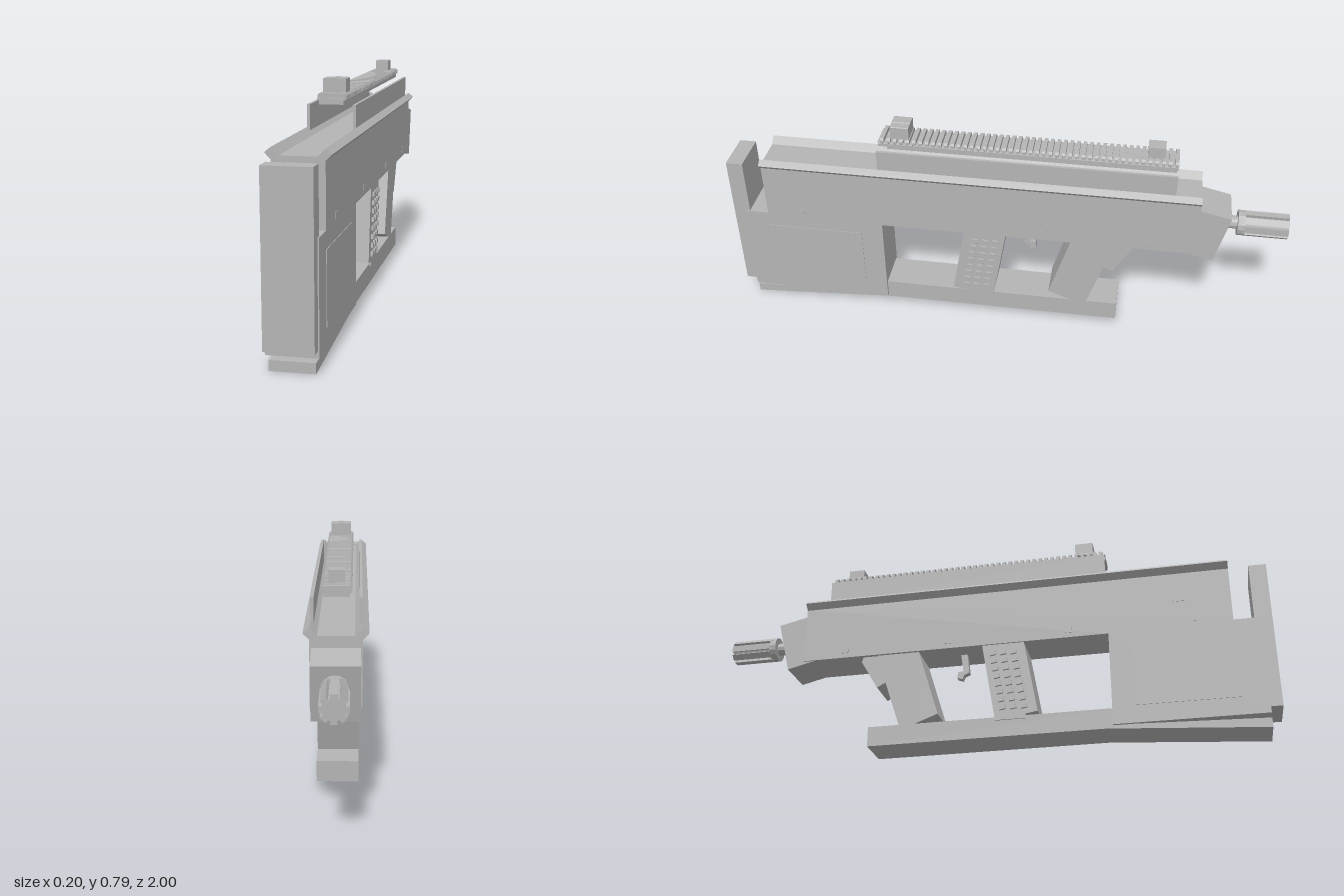
import * as THREE from 'three';

const grey = new THREE.MeshStandardMaterial({ color: 0xb4b4b4, flatShading: true });
grey.name = 'matte grey';

export function createModel() {
  const model = new THREE.Group();
  model.name = 'blaster';

  const add = (name, geometry, parent = model) => {
    const mesh = new THREE.Mesh(geometry, grey);
    mesh.name = name;
    parent.add(mesh);
    return mesh;
  };
  const group = (name) => {
    const g = new THREE.Group();
    g.name = name;
    model.add(g);
    return g;
  };
  // Box from its x, y and z limits
  const box = (name, x0, x1, y0, y1, z0, z1, parent) => {
    const mesh = add(name, new THREE.BoxGeometry(x1 - x0, y1 - y0, z1 - z0), parent);
    mesh.position.set((x0 + x1) / 2, (y0 + y1) / 2, (z0 + z1) / 2);
    return mesh;
  };
  const extrude = (points, depth) => new THREE.ExtrudeGeometry(
    new THREE.Shape(points.map(([a, b]) => new THREE.Vector2(a, b))),
    { depth, bevelEnabled: false });
  // Side profile of [z, y] points, given a width across x
  const side = (name, points, half, parent) => add(name,
    extrude(points, half * 2).translate(0, 0, -half).rotateY(-Math.PI / 2), parent);
  // Cross-section of [x, y] points, run from z0 to z1
  const along = (name, points, z0, z1, parent) => add(name,
    extrude(points, z1 - z0).translate(0, 0, z0), parent);
  const mirrored = (half) => [...half, ...half.map(([x, y]) => [-x, y]).reverse()];

  // Receiver and stock in one profile, with the butt plate behind
  side('receiverAndStock', [[0.96, 0.05], [0.96, 0.4], [0.87, 0.4], [0.87, 0.603],
    [-0.69, 0.603], [-0.69, 0.39], [0.44, 0.39], [0.44, 0.05]], 0.08);
  box('buttPlate', -0.076, 0.076, 0.073, 0.605, 0.94, 1);

  // Flared channel along the top
  along('topChannel', mirrored([[0.08, 0.6], [0.1, 0.62], [0.08, 0.636], [0.057, 0.612]]), -0.69, 0.87);

  // Walls beside the rail
  for (const s of [-1, 1]) {
    const x = s * 0.075;
    box(s > 0 ? 'leftRailWall' : 'rightRailWall', x - 0.005, x + 0.005, 0.62, 0.71, -0.6, 0.44);
  }

  // Toothed sight rail
  const rail = group('sightRail');
  box('railBase', -0.04, 0.04, 0.71, 0.724, -0.6, 0.44, rail);
  along('railCore', mirrored([[0.042, 0.722], [0.048, 0.726], [0.046, 0.73]]), -0.6, 0.44, rail);
  const teeth = 46, pitch = 1.04 / teeth;
  for (let i = 0; i < teeth; i++) {
    const z = -0.6 + i * pitch;
    along('railTooth', mirrored([[0.044, 0.724], [0.048, 0.728], [0.048, 0.738], [0.042, 0.745]]),
      z, z + pitch * 0.55, rail);
  }

  // Sights
  along('frontSight', mirrored([[0.038, 0.74], [0.038, 0.788], [0.036, 0.79], [0.008, 0.79],
    [0.006, 0.792]]), 0.33, 0.395);
  box('rearSight', -0.025, 0.025, 0.74, 0.784, -0.552, -0.493);

  // Slanted nose block
  side('noseBlock', [[-0.64, 0.587], [-0.798, 0.55], [-0.752, 0.365], [-0.65, 0.39]], 0.075);

  // Barrel and fluted muzzle
  const barrel = group('barrel');
  add('barrelTube', new THREE.CylinderGeometry(0.023, 0.023, 0.1, 12).rotateX(Math.PI / 2), barrel)
    .position.set(0, 0.487, -0.8);
  const flutes = [];
  for (let i = 0; i < 8; i++) {
    for (const [step, r] of [[-0.34, 0.045], [0.34, 0.045], [0.36, 0.033], [0.64, 0.033]]) {
      const a = (i + step) * Math.PI / 4;
      flutes.push([Math.cos(a) * r, Math.sin(a) * r]);
    }
  }
  along('flutedMuzzle', flutes, -1, -0.84, barrel).position.y = 0.487;
  add('muzzleCollar', new THREE.CylinderGeometry(0.045, 0.045, 0.025, 16).rotateX(Math.PI / 2), barrel)
    .position.set(0, 0.487, -0.8375);

  // Lower beam and the sloping foot under the stock
  box('lowerBeam', -0.07, 0.07, 0.04, 0.112, -0.43, 0.45);
  side('stockFoot', [[0.96, 0.003], [0.96, 0.036], [0.45, 0.052], [0.4, 0.041]], 0.07);

  // Rear grip with raised studs on both sides
  const grip = group('rearGrip');
  side('gripBody', [[0.137, 0.395], [-0.015, 0.395], [0.032, 0.1], [0.14, 0.1], [0.14, 0.116],
    [0.183, 0.123]], 0.074, grip);
  for (const s of [-1, 1]) {
    for (let row = 0; row < 8; row++) {
      for (let col = 0; col < 3; col++) {
        const y = 0.145 + row * 0.03;
        const z = 0.063 + col * 0.038 - (y - 0.12) * 0.165;
        const stud = add('gripStud', new THREE.BoxGeometry(0.01, 0.017, 0.022), grip);
        stud.position.set(s * 0.077, y, z);
        stud.rotation.x = -0.16;
      }
    }
  }

  // Trigger
  side('trigger', [[-0.083, 0.395], [-0.107, 0.395], [-0.097, 0.325], [-0.117, 0.322],
    [-0.12, 0.3], [-0.1, 0.293], [-0.095, 0.308], [-0.075, 0.318]], 0.012);

  // Front grip with its hand stop
  side('frontGrip', [[-0.252, 0.395], [-0.41, 0.395], [-0.313, 0.1], [-0.25, 0.115], [-0.175, 0.143]], 0.07);
  side('handStop', [[-0.33, 0.395], [-0.46, 0.395], [-0.468, 0.372], [-0.405, 0.265], [-0.34, 0.3]], 0.066);

  // Thin side panels and small pins
  for (const s of [-1, 1]) {
    const plate = (name, y0, y1, z0, z1) =>
      box(name, s * 0.08 - 0.002, s * 0.08 + 0.002, y0, y1, z0, z1);
    plate('stockPanel', 0.113, 0.345, 0.52, 0.87);
    for (const z of [0.74, 0.3, -0.14, -0.53]) plate('sidePin', 0.408, 0.428, z - 0.012, z + 0.012);
    if (s < 0) plate('sideCatch', 0.49, 0.52, 0.67, 0.72);
  }

  return model;
}
